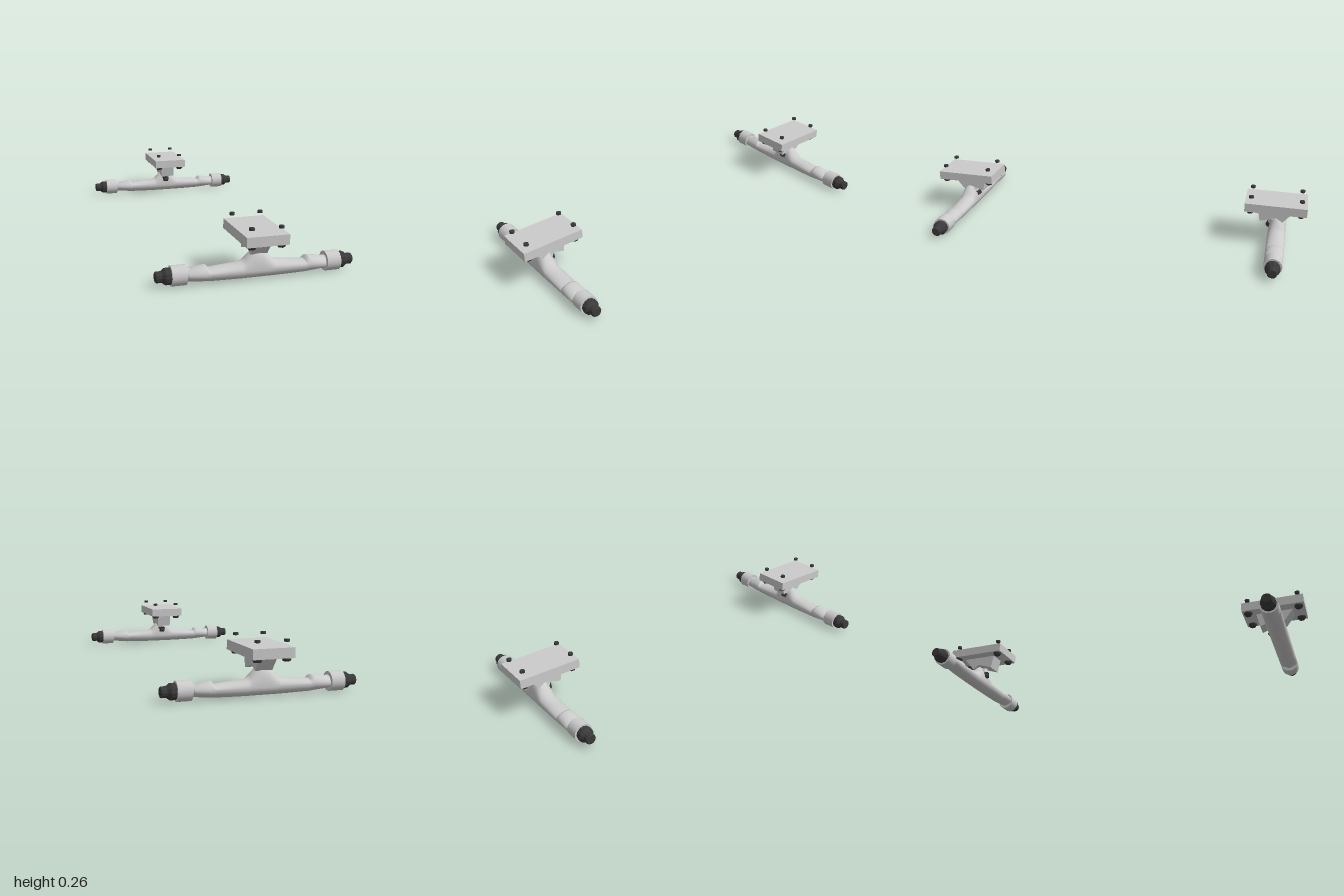
import * as THREE from 'three';

const grey = new THREE.MeshStandardMaterial({ color: 0xcccccc });
const dark = new THREE.MeshStandardMaterial({ color: 0x3a3a3a });
const AXLE_Y = 0.047;

function add(parent, name, geometry, material, x = 0, y = 0, z = 0) {
  const mesh = new THREE.Mesh(geometry, material);
  mesh.name = name;
  mesh.position.set(x, y, z);
  parent.add(mesh);
  return mesh;
}

// Hanger: rounded cross-sections swept along x, rising to a neck in the middle
function hangerGeometry() {
  // x, top, bottom
  const half = [
    [0, 0.14, 0.007], [0.02, 0.136, 0.007], [0.04, 0.116, 0.007], [0.058, 0.097, 0.007],
    [0.073, 0.081, 0.007], [0.14, 0.075, 0.008], [0.216, 0.067, 0.01],
    [0.222, 0.07, 0.01], [0.23, 0.082, 0.011], [0.24, 0.083, 0.012], [0.312, 0.072, 0.019],
  ];
  const sections = [
    ...half.slice(1).reverse().map(([x, t, b]) => [-x, t, b, 0.045]),
    ...half.map(([x, t, b]) => [x, t, b, 0.045]),
  ];
  // closed ends
  sections.unshift([-0.312, AXLE_Y, AXLE_Y, 0]);
  sections.push([0.312, AXLE_Y, AXLE_Y, 0]);

  const sides = 28, positions = [], index = [];
  sections.forEach(([x, top, bottom, width], i) => {
    for (let j = 0; j < sides; j++) {
      const a = (j / sides) * Math.PI * 2, s = Math.sin(a);
      const rise = s > 0 ? top - AXLE_Y : AXLE_Y - bottom;
      positions.push(x, AXLE_Y + s * rise, Math.cos(a) * width);
      if (i < sections.length - 1) {
        const p = i * sides + j, q = i * sides + ((j + 1) % sides);
        index.push(p, p + sides, q, p + sides, q + sides, q);
      }
    }
  });
  const geometry = new THREE.BufferGeometry();
  geometry.setAttribute('position', new THREE.Float32BufferAttribute(positions, 3));
  geometry.setIndex(index);
  geometry.computeVertexNormals();
  return geometry;
}

// Pivot block: side outline (z, y) extruded across x
function blockGeometry() {
  const outline = [[-0.105, 0.187], [-0.09, 0.114], [-0.01, 0.14], [0.025, 0.117], [0.082, 0.187]];
  const shape = new THREE.Shape(outline.map(([z, y]) => new THREE.Vector2(z, y)));
  const geometry = new THREE.ExtrudeGeometry(shape, { depth: 0.08, bevelEnabled: false });
  geometry.translate(0, 0, -0.04);
  geometry.rotateY(-Math.PI / 2);
  return geometry;
}

function createTruck() {
  const truck = new THREE.Group();
  const plateZ = -0.015;

  add(truck, 'basePlate', new THREE.BoxGeometry(0.19, 0.045, 0.31), grey, -0.002, 0.2075, plateZ);
  add(truck, 'pivotBlock', blockGeometry(), grey);
  add(truck, 'hanger', hangerGeometry(), grey);

  // Mounting bolts: heads above the missing deck, nuts under the plate
  for (const x of [-0.066, 0.066]) {
    for (const z of [-0.126, 0.126]) {
      add(truck, 'boltHead', new THREE.CylinderGeometry(0.012, 0.012, 0.011, 16), dark, x, 0.257, plateZ + z);
      add(truck, 'plateWasher', new THREE.CylinderGeometry(0.021, 0.021, 0.007, 20), dark, x, 0.182, plateZ + z);
      add(truck, 'plateNut', new THREE.CylinderGeometry(0.02, 0.016, 0.009, 6), dark, x, 0.174, plateZ + z);
    }
  }

  // Tilted kingpin with washer and nut on the inner side
  const kingpin = new THREE.Group();
  kingpin.name = 'kingpin';
  kingpin.position.set(0, 0.082, -0.04);
  kingpin.rotation.x = 0.6;
  add(kingpin, 'kingpinShaft', new THREE.CylinderGeometry(0.01, 0.01, 0.075, 16), dark, 0, 0.025, 0);
  add(kingpin, 'bushing', new THREE.CylinderGeometry(0.027, 0.022, 0.025, 24), grey, 0, 0.025, 0);
  add(kingpin, 'kingpinWasher', new THREE.CylinderGeometry(0.022, 0.022, 0.005, 24), dark, 0, 0.01, 0);
  add(kingpin, 'kingpinNut', new THREE.CylinderGeometry(0.02, 0.017, 0.018, 6), dark, 0, -0.002, 0);
  truck.add(kingpin);

  // Axle ends: spindle, collar and stepped dark nut
  const nutProfile = [[0, 0], [0.036, 0], [0.037, 0.004], [0.037, 0.024], [0.025, 0.04], [0.025, 0.062], [0.021, 0.067], [0, 0.067]]
    .map(([r, h]) => new THREE.Vector2(r, h));
  for (const side of [-1, 1]) {
    const end = new THREE.Group();
    end.name = side > 0 ? 'leftAxleEnd' : 'rightAxleEnd';
    end.position.y = AXLE_Y;
    end.rotation.z = -side * Math.PI / 2;
    add(end, 'spindle', new THREE.CylinderGeometry(0.028, 0.028, 0.03, 24), grey, 0, 0.315, 0);
    add(end, 'collar', new THREE.CylinderGeometry(0.0445, 0.0445, 0.065, 32), grey, 0, 0.3525, 0);
    add(end, 'axleNut', new THREE.LatheGeometry(nutProfile, 12), new THREE.MeshStandardMaterial({ color: 0x3a3a3a, flatShading: true }), 0, 0.385, 0);
    truck.add(end);
  }
  return truck;
}

export function createModel() {
  const model = new THREE.Group();
  model.name = 'axleAssemblies';

  const front = createTruck();
  front.name = 'frontTruck';
  front.position.z = 0.86;

  const rear = createTruck();
  rear.name = 'rearTruck';
  rear.position.z = -0.86;
  rear.rotation.y = Math.PI;

  model.add(front, rear);
  return model;
}
